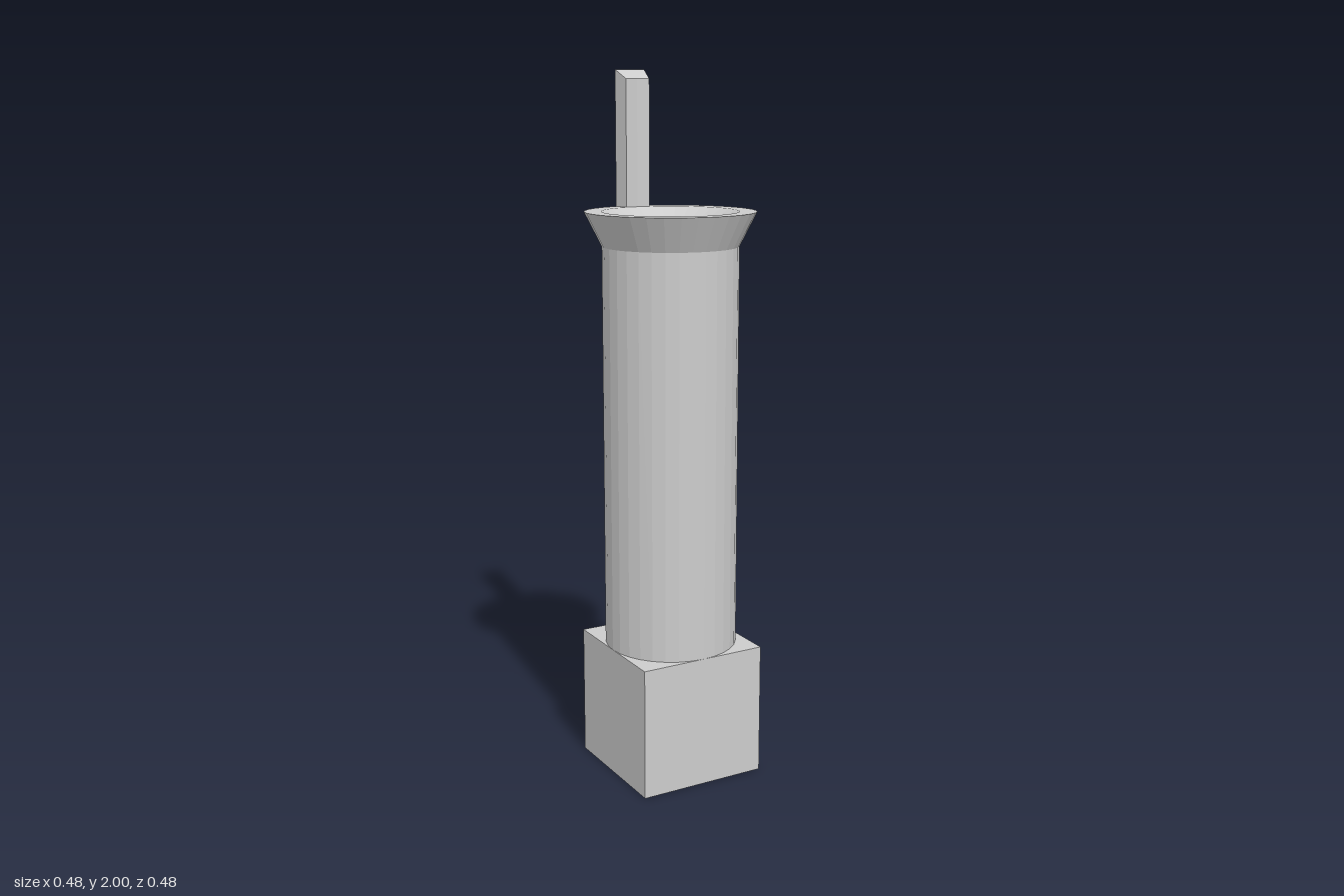
import * as THREE from 'three';

const SIDES = 32;
const R_BODY = 0.19, R_RIM = 0.238, Y_RIM = 1.62;

export function createModel() {
  const group = new THREE.Group();
  const material = new THREE.MeshStandardMaterial({ color: 0xcccccc, flatShading: true });
  const add = (name, geometry, y = 0) => {
    const mesh = new THREE.Mesh(geometry, material);
    mesh.name = name;
    mesh.position.y = y;
    group.add(mesh);
  };
  const lathe = (points) =>
    new THREE.LatheGeometry(points.map(([r, y]) => new THREE.Vector2(r, y)), SIDES);

  // Cubic plinth
  add('base', new THREE.BoxGeometry(0.38, 0.38, 0.38), 0.19);

  // Round shaft
  add('column', lathe([[R_BODY, 0.38], [R_BODY, 1.525]]));

  // Flared rim with a shallow dished top
  add('rim', lathe([
    [R_BODY, 1.525], [R_RIM, Y_RIM], [R_BODY, Y_RIM], [0.143, 1.595], [0, 1.595],
  ]));

  // Upright post: a two-facet slice of the rim ring, its top sloping down inward
  const step = (Math.PI * 2) / SIDES;
  const at = (r, i) => new THREE.Vector2(r * Math.sin(i * step), r * Math.cos(i * step));
  const slice = new THREE.Shape([
    ...[-1, 0, 1].map((i) => at(R_RIM, i)),
    ...[1, 0, -1].map((i) => at(R_BODY, i)),
  ]);
  const height = 2 - Y_RIM;
  const post = new THREE.ExtrudeGeometry(slice, { depth: height, bevelEnabled: false });
  post.rotateX(-Math.PI / 2);
  const p = post.attributes.position;
  for (let i = 0; i < p.count; i++) {
    const inner = Math.hypot(p.getX(i), p.getZ(i)) < (R_BODY + R_RIM) / 2;
    if (inner && p.getY(i) > height / 2) p.setY(i, height - 0.025);
  }
  post.computeVertexNormals();
  add('post', post, Y_RIM);

  return group;
}
